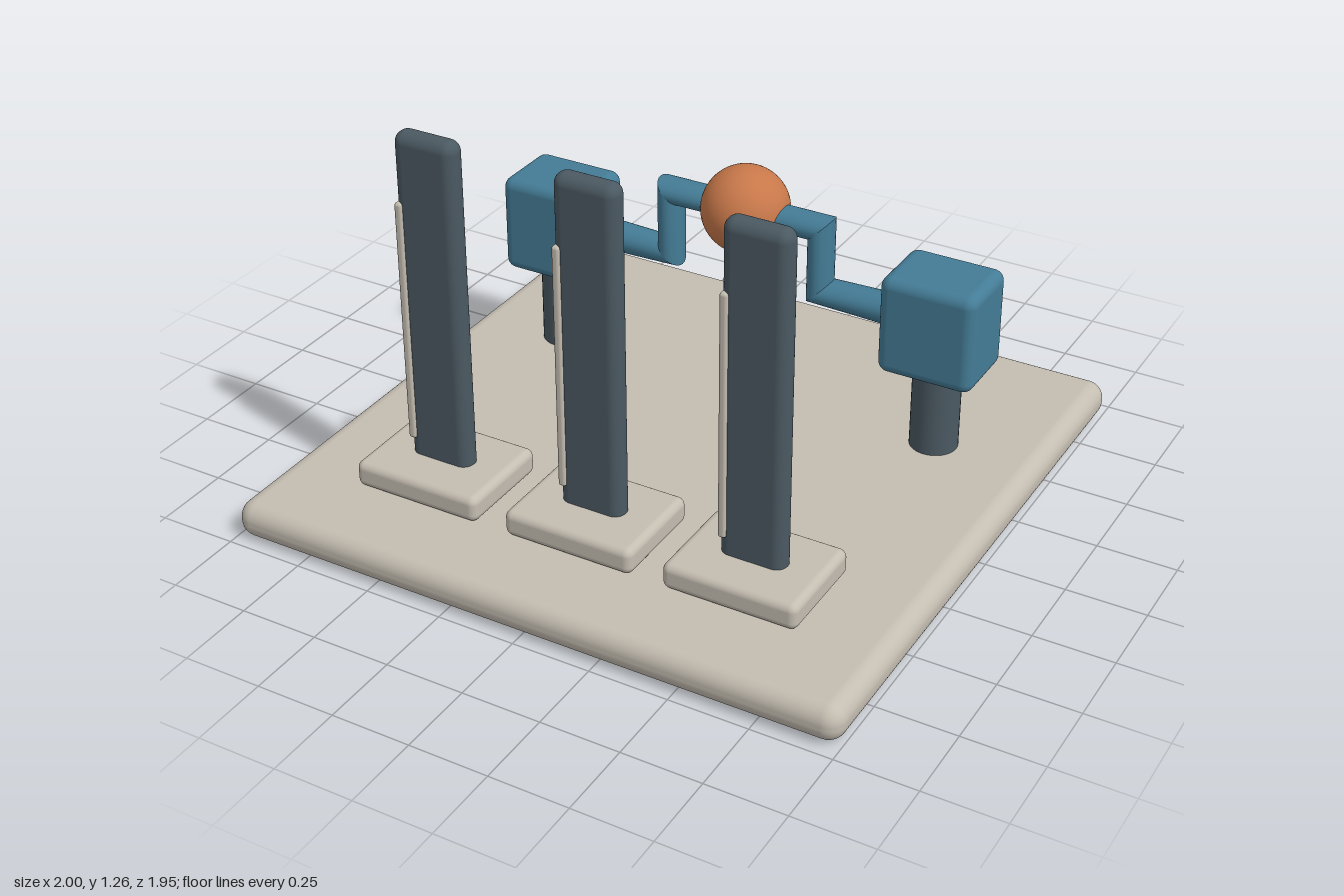
import * as THREE from 'three';
import { RoundedBoxGeometry } from 'three/addons/geometries/RoundedBoxGeometry.js';

const material = (name, color) => {
  const m = new THREE.MeshStandardMaterial({ color });
  m.name = name;
  return m;
};

// Mitred bar: rings of one radius, tilted halfway between neighbouring segments at each corner
function mitredBar(points, radius, sides) {
  const dir = i => points[i + 1].clone().sub(points[i]).normalize();
  const last = points.length - 1;
  const rings = points.map((p, i) => {
    const n = dir(Math.max(i - 1, 0)).add(dir(Math.min(i, last - 1))).normalize();
    const across = new THREE.Vector3(-n.y, n.x, 0);
    return Array.from({ length: sides }, (_, k) => {
      const a = (k / sides) * Math.PI * 2;
      return p.clone().addScaledVector(across, radius * Math.cos(a))
        .add(new THREE.Vector3(0, 0, radius * Math.sin(a)));
    });
  });
  const position = [], index = [];
  // Each segment owns its vertices, so corners stay sharp
  for (let s = 0; s < last; s++) {
    const base = position.length / 3;
    for (const ring of [rings[s], rings[s + 1]]) for (const v of ring) position.push(v.x, v.y, v.z);
    for (let k = 0; k < sides; k++) {
      const a = base + k, b = base + (k + 1) % sides;
      index.push(a, b, a + sides, b, b + sides, a + sides);
    }
  }
  const g = new THREE.BufferGeometry();
  g.setAttribute('position', new THREE.Float32BufferAttribute(position, 3));
  g.setIndex(index);
  g.computeVertexNormals();
  return g;
}

export function createModel() {
  const model = new THREE.Group();
  model.name = 'crankStand';
  const stone = material('warm stone', 0xc4bdb1);
  const blue = material('steel blue', 0x447c96);
  const dark = material('dark slate', 0x4b5962);
  const copper = material('copper', 0xc8784a);

  const add = (name, geometry, mat, x, y, z) => {
    const mesh = new THREE.Mesh(geometry, mat);
    mesh.name = name;
    mesh.position.set(x, y, z);
    model.add(mesh);
    return mesh;
  };
  const box = (w, h, d, r) => new RoundedBoxGeometry(w, h, d, 5, r);

  // Base plate
  add('basePlate', box(2, 0.12, 1.945, 0.055), stone, 0, 0.06, 0);

  // Crank supports
  const crankZ = -0.355;
  for (const [side, s] of [['left', 1], ['right', -1]]) {
    add(side + 'Post', new THREE.CylinderGeometry(0.076, 0.076, 0.32, 32), dark, s * 0.665, 0.27, crankZ);
    add(side + 'BearingBlock', box(0.31, 0.325, 0.245, 0.035), blue, s * 0.665, 0.5525, crankZ);
  }

  // Crank with a ball at its middle
  const path = [[-0.665, 0.547], [-0.262, 0.547], [-0.262, 0.76], [0.262, 0.76], [0.262, 0.547], [0.665, 0.547]]
    .map(([x, y]) => new THREE.Vector3(x, y, 0));
  add('crank', mitredBar(path, 0.056, 24), blue, 0, 0, crankZ);
  add('ball', new THREE.SphereGeometry(0.14, 40, 28), copper, 0, 0.76, crankZ);

  // Front row of upright blades
  for (const x of [-0.525, 0, 0.525]) {
    add('bladeFoot', box(0.426, 0.085, 0.33, 0.025), stone, x, 0.162, 0.548);
    add('blade', box(0.205, 1.1, 0.074, 0.035), dark, x, 0.712, 0.547);
    add('bladeStrip', box(0.026, 0.785, 0.026, 0.01), stone, x - 0.087, 0.652, 0.579);
  }
  return model;
}
